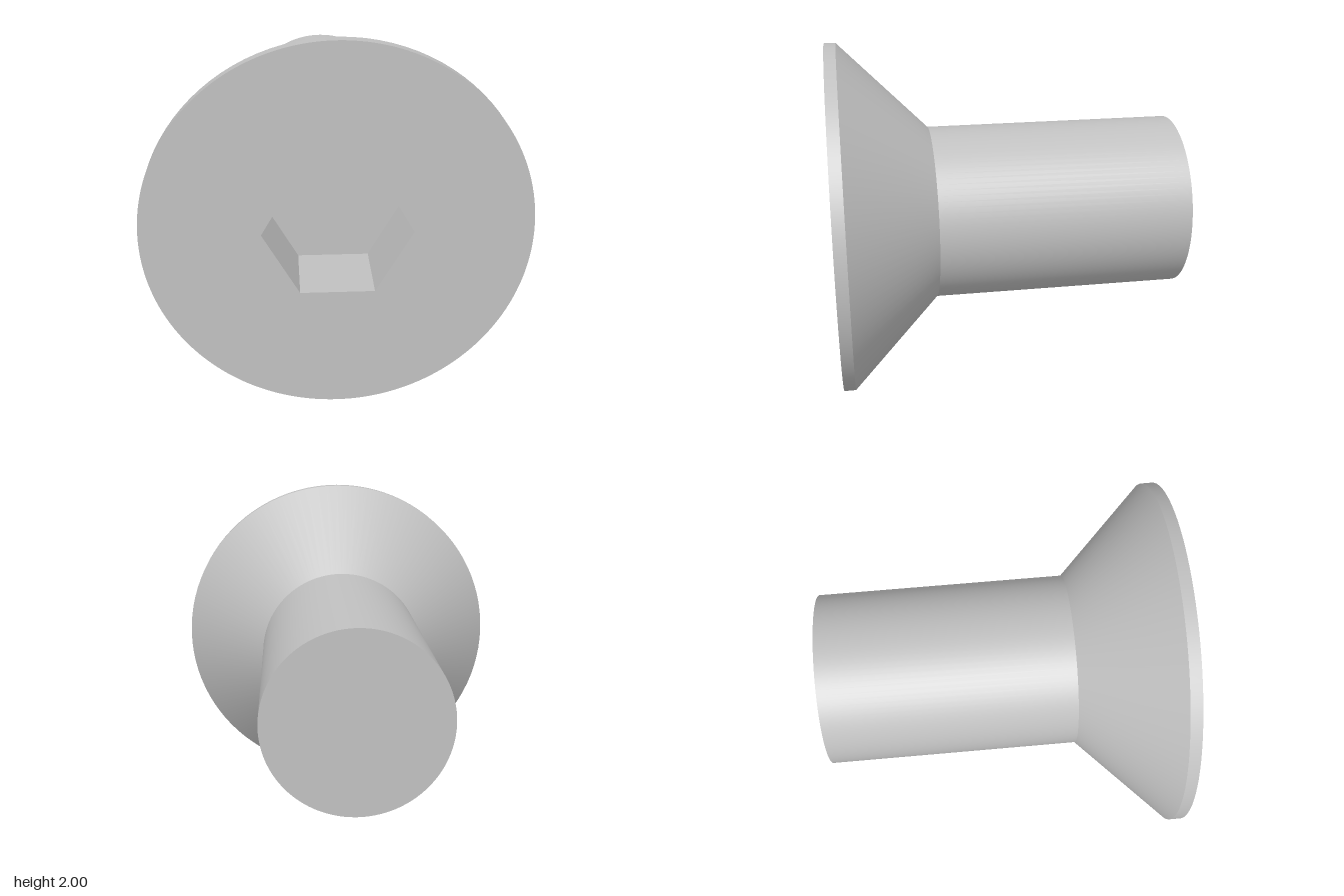
import * as THREE from 'three';
import { mergeGeometries } from 'three/addons/utils/BufferGeometryUtils.js';

const SEG = 96;
const HEAD_R = 1, SHANK_R = 0.5, HEX_R = 0.387;
const FRONT = 1, RIM_BACK = 0.935, NECK = 0.435, BACK = -1, SOCKET_FLOOR = 0.587;

// Open round band along z, from the back radius to the front radius
function band(rBack, rFront, zBack, zFront) {
  return new THREE.CylinderGeometry(rFront, rBack, zFront - zBack, SEG, 1, true)
    .rotateX(Math.PI / 2)
    .translate(0, 0, (zBack + zFront) / 2);
}

export function createModel() {
  const steel = new THREE.MeshStandardMaterial({ color: 0xc0c0c0 });
  steel.name = 'steel grey';

  const model = new THREE.Group();
  model.name = 'countersunkScrew';
  const add = (name, geometry) => {
    const mesh = new THREE.Mesh(geometry, steel);
    mesh.name = name;
    mesh.position.y = HEAD_R;
    model.add(mesh);
  };

  // Shank with its flat end
  add('shank', band(SHANK_R, SHANK_R, BACK, NECK));
  add('shankEnd', new THREE.CircleGeometry(SHANK_R, SEG).rotateY(Math.PI).translate(0, 0, BACK));

  // Countersunk head: cone and thin rim
  add('headCone', band(SHANK_R, HEAD_R, NECK, RIM_BACK));
  add('headRim', band(HEAD_R, HEAD_R, RIM_BACK, FRONT));

  // Head face with a hexagonal opening
  const disc = new THREE.Shape().absarc(0, 0, HEAD_R, 0, Math.PI * 2);
  const corners = [];
  for (let i = 0; i < 6; i++) {
    const a = i * Math.PI / 3;
    corners.push(new THREE.Vector2(Math.cos(a) * HEX_R, Math.sin(a) * HEX_R));
  }
  disc.holes.push(new THREE.Path(corners));
  add('headFace', new THREE.ShapeGeometry(disc, SEG).translate(0, 0, FRONT));

  // Socket: six inward-facing walls and a floor
  const depth = FRONT - SOCKET_FLOOR;
  const apothem = HEX_R * Math.cos(Math.PI / 6);
  const walls = [];
  for (let i = 0; i < 6; i++) {
    walls.push(new THREE.PlaneGeometry(HEX_R, depth)
      .rotateX(Math.PI / 2)
      .translate(0, apothem, FRONT - depth / 2)
      .rotateZ(i * Math.PI / 3));
  }
  add('socketWalls', mergeGeometries(walls));
  add('socketFloor', new THREE.CircleGeometry(HEX_R, 6).translate(0, 0, SOCKET_FLOOR));

  return model;
}
